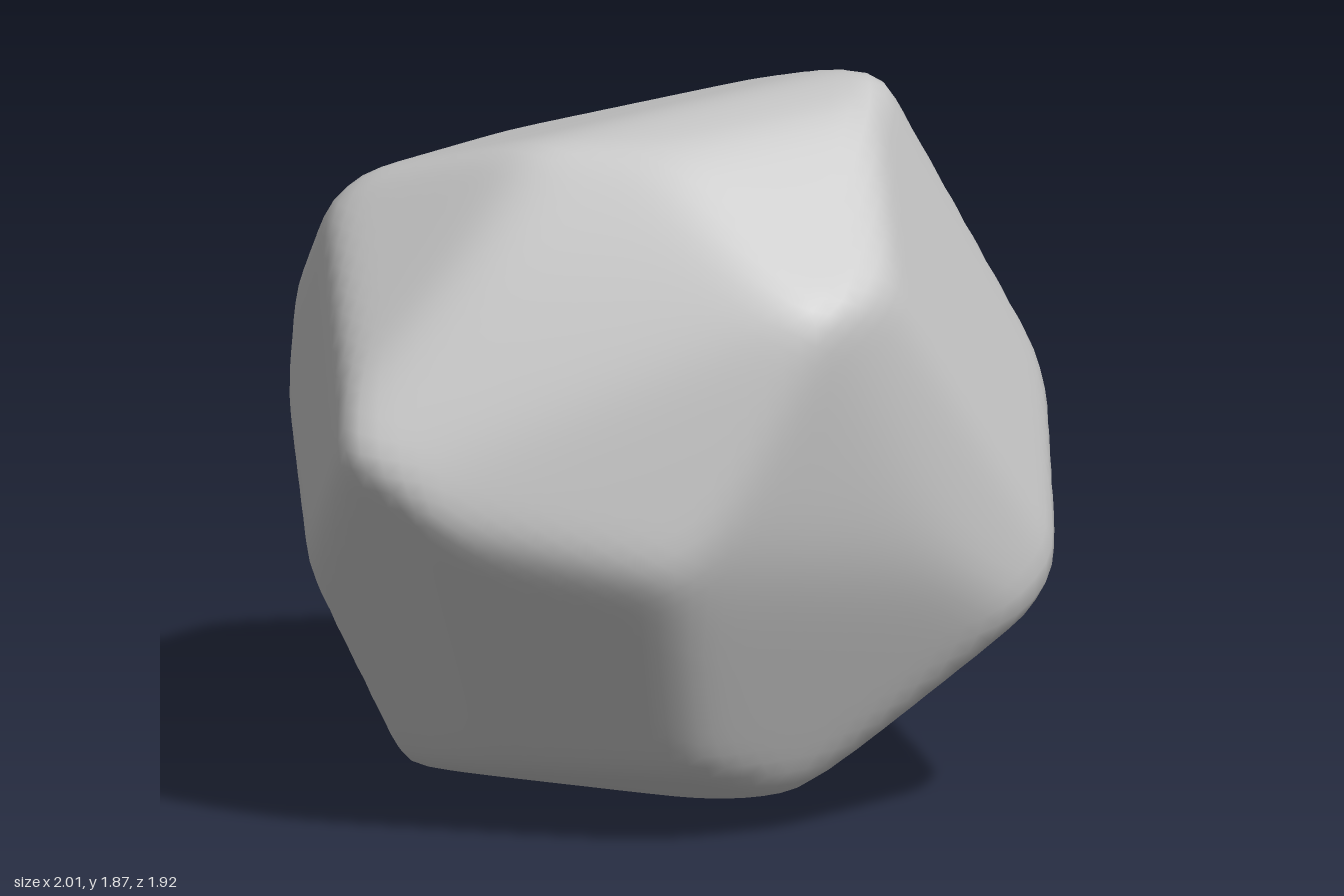
import * as THREE from 'three';
import { mergeVertices } from 'three/addons/utils/BufferGeometryUtils.js';

const CENTRE_Y = 0.935;
const CRISPNESS = 45; // higher gives sharper ridges between facets

// Chipped faces of the rock: outward direction x, y, z and distance from its centre
const facets = [
  // crown
  [-0.09, 0.99, 0.05, 0.89],
  [-0.1, 0.95, -0.28, 0.79],
  [-0.05, 0.79, 0.61, 0.99],
  [0.2, 0.7, -0.69, 0.87],
  // upper sides
  [-0.57, 0.48, 0.67, 0.91],
  [-0.5, 0.65, 0.57, 0.94],
  [0.75, 0.36, 0.55, 0.87],
  [0.81, 0.54, -0.22, 0.855],
  [-0.73, 0.67, 0.13, 0.94],
  [-0.39, 0.65, -0.65, 0.89],
  // front
  [0.1, -0.18, 0.98, 0.87],
  [0.05, -0.43, 0.9, 0.84],
  [0.4, 0, 0.92, 0.92],
  [-0.5, 0.15, 0.85, 0.9],
  [-0.54, -0.51, 0.67, 0.86],
  // flanks
  [0.92, -0.39, 0.11, 0.94],
  [0.93, 0, -0.36, 0.885],
  [0.82, 0, -0.57, 0.92],
  [-0.94, 0.1, -0.3, 0.88],
  [-0.8, -0.37, -0.47, 0.88],
  [-0.82, -0.48, 0.3, 0.9],
  // back
  [0, 0.24, -0.97, 0.885],
  [0, -0.55, -0.83, 0.97],
  [0.63, 0.1, -0.77, 0.89],
  [-0.55, 0, -0.83, 0.93],
  // underside
  [-0.2, -0.97, 0.13, 0.92],
  [-0.24, -0.91, 0.34, 0.92],
  [0.36, -0.92, 0.15, 0.92],
  [0, -0.92, -0.39, 0.92],
  [0.55, -0.78, 0.29, 0.91],
];

// Distance to the surface along a direction: the nearest facet, softly blended
function radius(d) {
  let sum = 0;
  for (const [x, y, z, dist] of facets) {
    sum += Math.max(0, (d.x * x + d.y * y + d.z * z) / dist) ** CRISPNESS;
  }
  return sum ** (-1 / CRISPNESS);
}

export function createModel() {
  const group = new THREE.Group();
  group.name = 'boulder';

  // Evenly divided ball with shared vertices, cut back to the facets
  let geo = new THREE.IcosahedronGeometry(1, 22);
  geo.deleteAttribute('normal');
  geo.deleteAttribute('uv');
  geo = mergeVertices(geo, 1e-4);
  const pos = geo.attributes.position;
  const d = new THREE.Vector3();
  for (let i = 0; i < pos.count; i++) {
    d.fromBufferAttribute(pos, i).normalize();
    d.multiplyScalar(radius(d));
    pos.setXYZ(i, d.x, d.y + CENTRE_Y, d.z);
  }

  // Rest the lowest point on the ground
  geo.computeBoundingBox();
  geo.translate(0, -geo.boundingBox.min.y, 0);
  geo.computeVertexNormals();

  const rock = new THREE.Mesh(geo, new THREE.MeshStandardMaterial({ color: 0xcccccc }));
  rock.name = 'rock';
  group.add(rock);
  return group;
}
